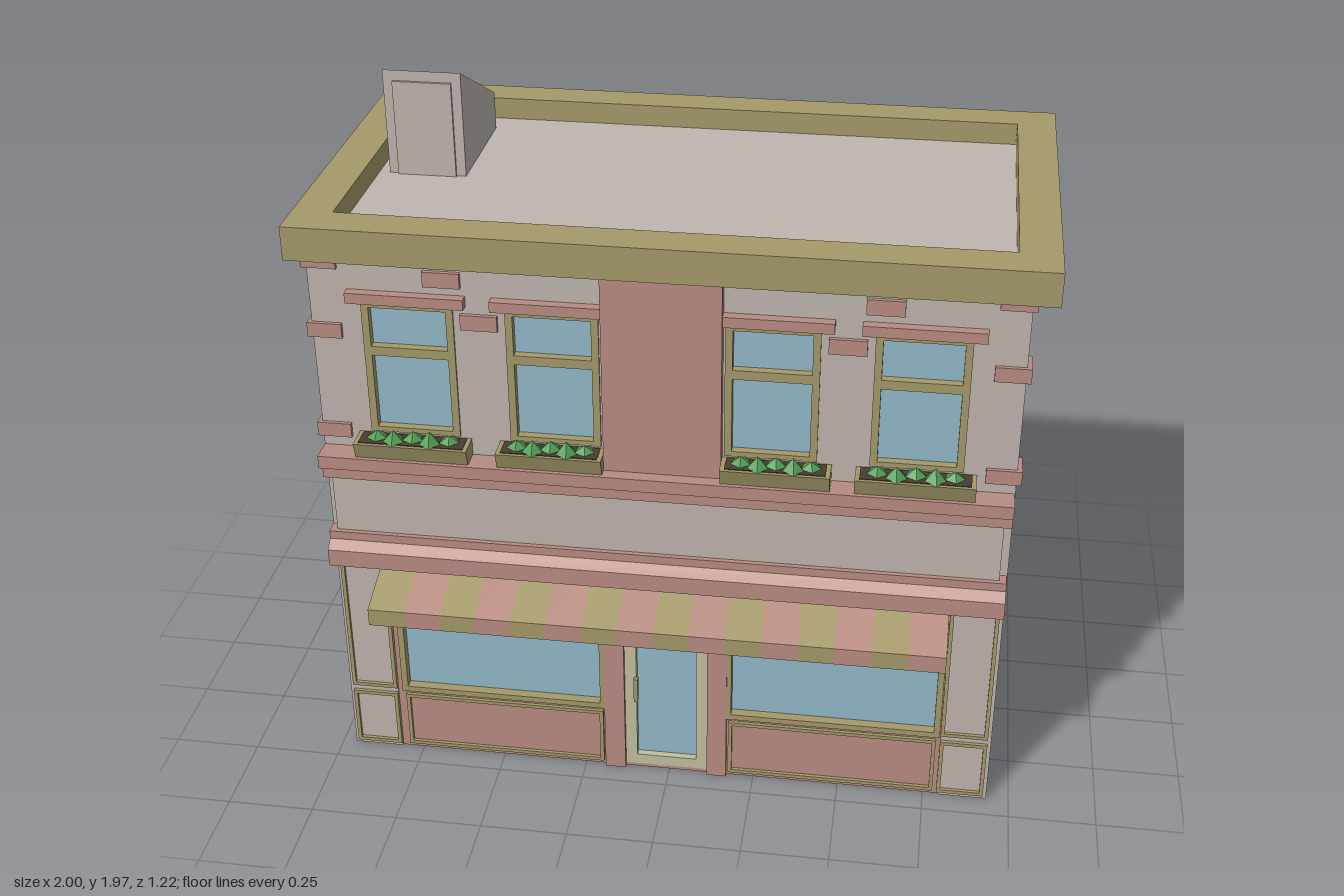
import * as THREE from 'three';

const mat = (name, color) => {
  const m = new THREE.MeshStandardMaterial({ color });
  m.name = name;
  return m;
};

export function createModel() {
  const stone = mat('pale stone', 0xc0b5b0), brick = mat('rose brick', 0xb88c82);
  const olive = mat('olive trim', 0xa59a6a), glass = mat('blue glass', 0x93b9ca);
  const cream = mat('cream door', 0xc3bf9f), leaf = mat('leaf green', 0x4f9a52);
  const soil = mat('dark soil', 0x4a3c30);

  const model = new THREE.Group();
  model.name = 'cornerShop';

  const add = (parent, name, geo, m) => {
    const mesh = new THREE.Mesh(geo, m);
    mesh.name = name;
    parent.add(mesh);
    return mesh;
  };
  const group = (name, parent = model) => {
    const g = new THREE.Group();
    g.name = name;
    parent.add(g);
    return g;
  };
  const box = (parent, name, m, x0, x1, y0, y1, z0, z1) =>
    add(parent, name, new THREE.BoxGeometry(x1 - x0, y1 - y0, z1 - z0)
      .translate((x0 + x1) / 2, (y0 + y1) / 2, (z0 + z1) / 2), m);

  // Upright slab with rectangular openings, each [x0, x1, y0, y1]
  const rectPoints = ([x0, x1, y0, y1]) =>
    [[x0, y0], [x1, y0], [x1, y1], [x0, y1]].map(p => new THREE.Vector2(...p));
  const slab = (parent, name, m, rect, holes, z0, z1) => {
    const s = new THREE.Shape(rectPoints(rect));
    s.holes = holes.map(h => new THREE.Path(rectPoints(h).reverse()));
    return add(parent, name, new THREE.ExtrudeGeometry(s, { depth: z1 - z0, bevelEnabled: false })
      .translate(0, 0, z0), m);
  };
  const frame = (parent, name, m, [x0, x1, y0, y1], t, z0, z1) =>
    slab(parent, name, m, [x0, x1, y0, y1], [[x0 + t, x1 - t, y0 + t, y1 - t]], z0, z1);

  // Profile of [z, y] points swept along x
  const sweep = (parent, name, m, pts, x0, x1) => {
    const s = new THREE.Shape(pts.map(([z, y]) => new THREE.Vector2(-z, y)));
    const g = new THREE.ExtrudeGeometry(s, { depth: x1 - x0, bevelEnabled: false });
    return add(parent, name, g.rotateY(Math.PI / 2).translate(x0, 0, 0), m);
  };

  // Sash window with lintel; z is the wall face
  const sash = (parent, x, y, z, sill) => {
    const g = group('window', parent);
    g.position.set(x, y, z);
    slab(g, 'windowFrame', olive, [-0.125, 0.125, 0, 0.4],
      [[-0.105, 0.105, 0.015, 0.235], [-0.105, 0.105, 0.262, 0.378]], -0.035, 0.006);
    box(g, 'windowPane', glass, -0.115, 0.115, 0.005, 0.39, -0.025, -0.018);
    box(g, 'lintel', brick, -0.16, 0.16, 0.397, 0.427, -0.01, 0.028);
    if (sill) box(g, 'sill', brick, -0.16, 0.16, -0.03, 0.002, -0.01, 0.032);
  };

  // Front wall
  const FZ = 0.43, BZ = 0.34;
  const frontXs = [-0.695, -0.305, 0.28, 0.67];
  slab(model, 'upperFrontWall', stone, [-0.96, 0.935, 0.68, 1.64],
    frontXs.map(x => [x - 0.12, x + 0.12, 1.11, 1.5]), BZ, FZ);
  box(model, 'centrePanel', brick, -0.17, 0.15, 1.05, 1.635, FZ, 0.463);
  for (const x of frontXs) sash(model, x, 1.107, FZ, false);
  for (const [x, y] of [[-0.595, 1.58], [-0.5, 1.46], [0.567, 1.58], [0.475, 1.46]])
    box(model, 'frontBrick', brick, x - 0.05, x + 0.05, y - 0.022, y + 0.022, FZ - 0.01, FZ + 0.012);

  // Planters with low leafy clumps
  for (const [x0, x1] of [[-0.855, -0.54], [-0.46, -0.17], [0.15, 0.445], [0.51, 0.83]]) {
    const g = group('planter');
    sweep(g, 'planterBox', olive, [[0.43, 1.05], [0.488, 1.05], [0.505, 1.1], [0.43, 1.1]], x0, x1);
    box(g, 'planterSoil', soil, x0 + 0.012, x1 - 0.012, 1.097, 1.102, 0.435, 0.495);
    for (let i = 0; i < 5; i++) {
      const h = [0.022, 0.034, 0.026, 0.038, 0.02][i];
      const clump = add(g, 'foliage', new THREE.ConeGeometry(0.032, h, 5).toNonIndexed(), leaf);
      clump.geometry.computeVertexNormals();
      clump.position.set(x0 + (x1 - x0) * (0.18 + 0.16 * i), 1.1 + h / 2, 0.465 + 0.008 * (i % 2 ? 1 : -1));
      clump.rotation.y = i * 1.3;
    }
  }

  // Fascia between two cornices
  sweep(model, 'upperCornice', brick,
    [[0.42, 0.965], [0.47, 0.965], [0.47, 1.0], [0.5, 1.012], [0.5, 1.05], [0.42, 1.05]], -0.96, 0.933);
  box(model, 'fascia', stone, -0.94, 0.913, 0.78, 0.97, FZ - 0.01, 0.456);
  sweep(model, 'lowerCornice', brick,
    [[0.42, 0.69], [0.5, 0.69], [0.5, 0.742], [0.47, 0.762], [0.47, 0.787], [0.42, 0.787]], -0.96, 0.933);

  // Striped awning
  const awning = group('awning');
  const awningProfile = [[0.42, 0.575], [0.61, 0.575], [0.61, 0.627], [0.42, 0.688]];
  const a0 = -0.818, step = 1.6 / 16;
  for (let i = 0; i < 16; i++)
    sweep(awning, 'awningStripe', i % 2 ? brick : olive, awningProfile, a0 + i * step, a0 + (i + 1) * step);
  for (const x of [a0 - 0.004, a0 + 1.6])
    sweep(awning, 'awningEnd', olive, awningProfile, x, x + 0.004);

  // Shopfront
  const shopWindows = [[-0.79, -0.195, 0.225, 0.6], [0.175, 0.778, 0.225, 0.6]];
  const door = [-0.13, 0.113, 0.01, 0.572];
  slab(model, 'shopfront', brick, [-0.815, 0.79, 0, 0.685], [...shopWindows, door], BZ, 0.425);
  for (const [x0, x1, y0, y1] of shopWindows) {
    box(model, 'shopPane', glass, x0, x1, y0, y1, 0.4, 0.407);
    frame(model, 'shopWindowFrame', olive, [x0 - 0.01, x1 + 0.01, 0.212, y1 + 0.01], 0.018, 0.4, 0.435);
    frame(model, 'stallPanelTrim', olive, [x0, x1, 0.015, 0.2], 0.011, 0.42, 0.435);
  }
  for (const [x0, x1] of [[-0.19, -0.13], [0.113, 0.17]])
    box(model, 'doorPillar', brick, x0, x1, 0, 0.685, 0.36, 0.438);
  frame(model, 'doorLeaf', cream, door, 0.034, 0.385, 0.425);
  box(model, 'doorPane', glass, -0.1, 0.082, 0.04, 0.545, 0.398, 0.405);
  box(model, 'doorHandle', olive, -0.102, -0.09, 0.25, 0.33, 0.425, 0.44);
  for (const [x0, x1] of [[-0.81, -0.56], [0.42, 0.785]])
    box(model, 'innerLining', brick, x0, x1, 0, 0.685, 0.333, 0.34);

  // End piers with framed panels
  for (const [x0, x1, p0, p1] of [[-0.96, -0.815, -0.95, -0.815], [0.79, 0.935, 0.79, 0.925]]) {
    box(model, 'endPier', stone, x0, x1, 0, 0.685, BZ, FZ);
    frame(model, 'pierTrim', olive, [p0, p1, 0.222, 0.68], 0.011, 0.42, 0.44);
    frame(model, 'pierBaseTrim', olive, [p0, p1, 0.015, 0.202], 0.011, 0.42, 0.44);
  }

  // Back wall
  box(model, 'backWall', brick, -0.96, 0.935, 0, 1.64, -0.575, -0.485);

  // Side walls, set back behind the corners; bricks are [z, y]
  const sideBricks = [[-0.168, 1.587], [-0.08, 1.463], [0.137, 0.93], [0.228, 0.807], [-0.32, 0.852],
    [-0.273, 0.807], [-0.08, 0.547], [-0.305, 0.187], [0.203, 0.11]];
  for (const s of [1, -1]) {
    const side = group(s > 0 ? 'leftSide' : 'rightSide');
    side.rotation.y = s * Math.PI / 2;
    side.position.x = s > 0 ? 0.905 : -0.93;
    const u = z => -s * z;
    const holes = [];
    for (const z of [0.128, -0.272]) for (const y of [0.257, 1.108]) {
      holes.push([u(z) - 0.12, u(z) + 0.12, y + 0.005, y + 0.395]);
      sash(side, u(z), y, 0, true);
    }
    const ends = [u(0.345), u(-0.49)].sort((a, b) => a - b);
    slab(side, 'sideWall', stone, [...ends, 0, 1.64], holes, -0.04, 0);
    for (const [z, y] of sideBricks)
      box(side, 'sideBrick', brick, u(z) - 0.049, u(z) + 0.049, y - 0.021, y + 0.021, -0.01, 0.014);

    // Corner quoins
    const edge = s > 0 ? 0.948 : -0.972, inner = edge - s * 0.095;
    const [q0, q1] = [edge, inner].sort((a, b) => a - b);
    for (const y of [1.615, 1.41, 1.103])
      box(model, 'frontQuoin', brick, q0, q1, y - 0.021, y + 0.021, 0.363, 0.441);
    for (const [y, z] of [[1.615, -0.495], [1.353, -0.495], [0.8, -0.535], [0.43, -0.495]])
      box(model, 'backQuoin', brick, q0, q1, y - 0.017, y + 0.017, -0.587, z);
  }

  // Roof with raised rim
  slab(model, 'roofRim', olive, [-1, 1, -0.49, 0.61], [[-0.89, 0.89, -0.38, 0.505]], 1.635, 1.73)
    .rotation.x = -Math.PI / 2;
  box(model, 'roofDeck', stone, -0.9, 0.9, 1.637, 1.667, -0.51, 0.39);

  // Sloped roof access hut
  const hut = group('roofHut');
  sweep(hut, 'hutBody', stone, [[-0.05, 1.66], [-0.05, 1.97], [-0.425, 1.777], [-0.425, 1.66]], -0.86, -0.64);
  box(hut, 'hutDoor', stone, -0.833, -0.667, 1.667, 1.94, -0.051, -0.042);

  return model;
}
